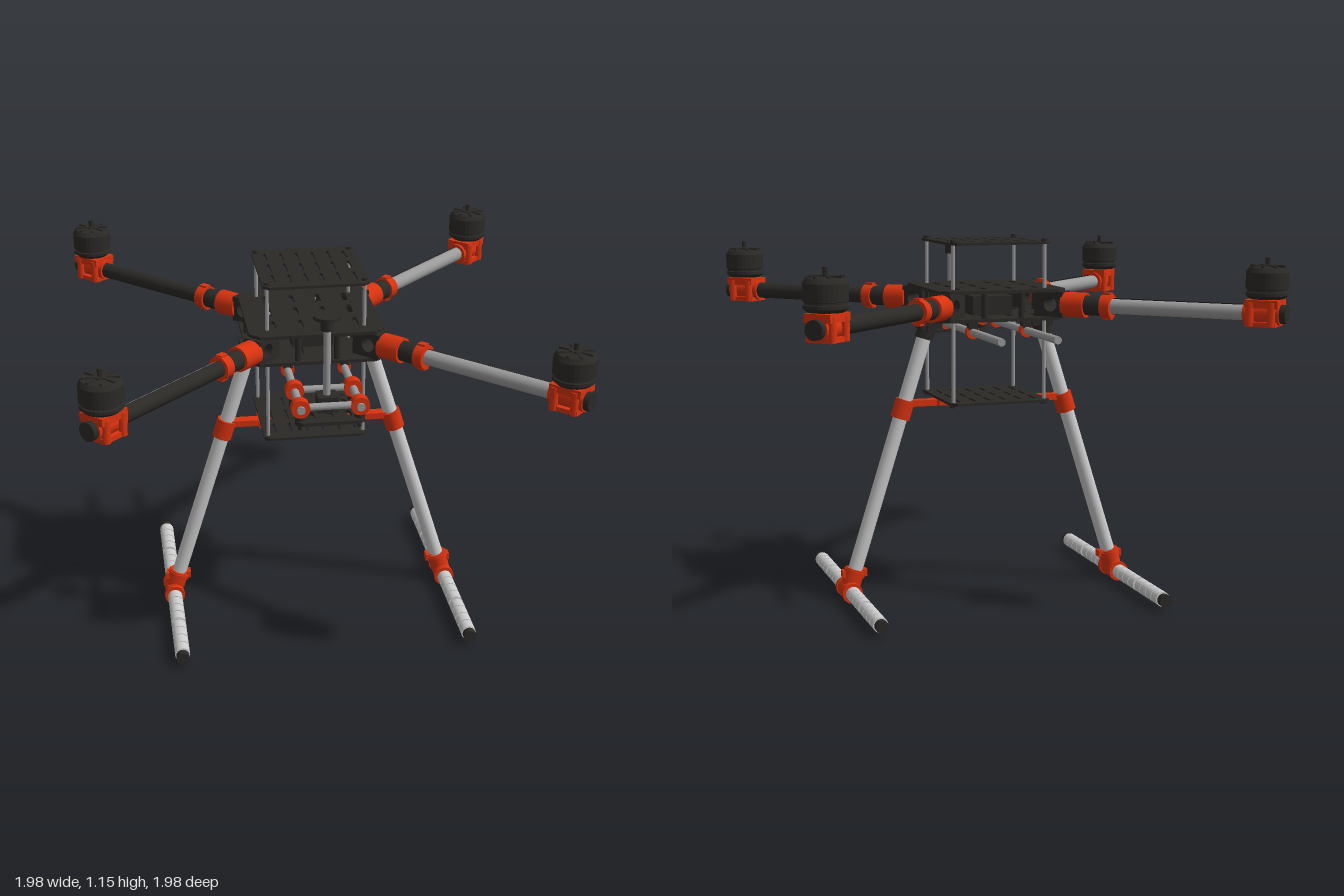
import * as THREE from 'three';

const mat = (color, extra = {}) => new THREE.MeshStandardMaterial({ color, ...extra });
const GREY = mat(0xcccccc), DARK = mat(0x2b2926), RED = mat(0xd8320f), TUBE = mat(0x9a9a9a);
const DARK_OPEN = mat(0x2b2926, { side: THREE.DoubleSide });
const V = (x, y, z) => new THREE.Vector3(x, y, z);

function add(parent, name, geometry, material, x = 0, y = 0, z = 0) {
  const mesh = new THREE.Mesh(geometry, material);
  mesh.name = name;
  mesh.position.set(x, y, z);
  parent.add(mesh);
  return mesh;
}
const box = (p, name, m, w, h, d, x, y, z) => add(p, name, new THREE.BoxGeometry(w, h, d), m, x, y, z);
const disc = (p, name, m, r, h, x, y, z, sides = 24) =>
  add(p, name, new THREE.CylinderGeometry(r, r, h, sides), m, x, y, z);

// Cylinder running from point a to point b
function rod(p, name, m, r, a, b, sides = 20) {
  const dir = b.clone().sub(a);
  const mesh = add(p, name, new THREE.CylinderGeometry(r, r, dir.length(), sides), m);
  mesh.position.copy(a).add(b).multiplyScalar(0.5);
  mesh.quaternion.setFromUnitVectors(V(0, 1, 0), dir.normalize());
  return mesh;
}

// Slot outline, long along y
function slot(x, y, halfWidth, halfLength) {
  const s = new THREE.Path();
  s.absarc(x, y + halfLength, halfWidth, 0, Math.PI);
  s.absarc(x, y - halfLength, halfWidth, Math.PI, Math.PI * 2);
  s.closePath();
  return s;
}

// Flat plate with cut corners and rows of slots
function plate(p, name, w, d, cut, t, x, y, z, slots) {
  const s = new THREE.Shape([
    [w, d - cut], [w - cut, d], [cut - w, d], [-w, d - cut],
    [-w, cut - d], [cut - w, -d], [w - cut, -d], [w, cut - d],
  ].map(([a, b]) => new THREE.Vector2(a, b)));
  for (const [a, b, hw, hl] of slots) s.holes.push(slot(a, b, hw, hl));
  const g = new THREE.ExtrudeGeometry(s, { depth: t, bevelEnabled: false, curveSegments: 5 });
  g.rotateX(-Math.PI / 2);
  return add(p, name, g, DARK, x, y - t / 2, z);
}

function slotGrid(cols, rows, dx, dz, hw, hl) {
  const out = [];
  for (let i = 0; i < cols; i++)
    for (let j = 0; j < rows; j++)
      out.push([(i - (cols - 1) / 2) * dx, (j - (rows - 1) / 2) * dz, hw, hl]);
  return out;
}

// One arm running along +z, with its clamp, collars and motor
function makeArm() {
  const g = new THREE.Group();
  g.name = 'arm';
  const y = 0.948;
  const along = (name, m, r, z0, z1) => rod(g, name, m, r, V(0, y, z0), V(0, y, z1), 24);
  const s = new THREE.Shape([[0.19, -0.04], [0.285, -0.04], [0.285, 0.04], [0.19, 0.04]]
    .map(([a, b]) => new THREE.Vector2(a, b)));
  s.holes.push(new THREE.Path().absarc(0.245, 0, 0.022, 0, Math.PI * 2));
  const clamp = new THREE.ExtrudeGeometry(s, { depth: 0.06, bevelEnabled: false });
  clamp.rotateY(-Math.PI / 2);
  add(g, 'armClamp', clamp, DARK, 0.03, y, 0);
  along('armTube', TUBE, 0.023, 0.28, 0.97);
  const cover = new THREE.CylinderGeometry(0.026, 0.026, 0.46, 16, 1, true, Math.PI / 2, Math.PI);
  cover.rotateX(Math.PI / 2);
  cover.rotateZ(-Math.PI / 2);
  const c = add(g, 'armCover', cover, DARK_OPEN, 0, y, 0.66);
  c.rotation.z = Math.PI * (cover.boundingBox || (cover.computeBoundingBox(), cover.boundingBox)).max.y > 0.05 ? 0 : Math.PI;
  along('innerCollar', RED, 0.039, 0.28, 0.355);
  along('foldingJoint', DARK, 0.031, 0.355, 0.41);
  along('outerCollar', RED, 0.037, 0.41, 0.442);
  box(g, 'collarLug', RED, 0.022, 0.082, 0.028, 0, y, 0.426);
  // Motor mount
  along('mountSleeve', RED, 0.033, 0.865, 0.975);
  along('armCap', DARK, 0.028, 0.97, 0.993);
  box(g, 'mountBlock', RED, 0.085, 0.024, 0.1, 0, 0.978, 0.925);
  for (const x of [-0.036, 0.036])
    for (const z of [0.89, 0.955]) disc(g, 'mountBolt', RED, 0.012, 0.07, x, 0.947, z, 10);
  box(g, 'mountFoot', RED, 0.08, 0.014, 0.09, 0, 0.918, 0.922);
  // Motor
  const profile = [[0, 0.992], [0.05, 0.992], [0.062, 1.002], [0.062, 1.012], [0.058, 1.014], [0.058, 1.02],
    [0.063, 1.022], [0.063, 1.07], [0.054, 1.084], [0.02, 1.087], [0.02, 1.092], [0, 1.092]]
    .map(([a, b]) => new THREE.Vector2(a, b));
  add(g, 'motor', new THREE.LatheGeometry(profile, 28), mat(0x2b2926, { flatShading: true }), 0, 0, 0.93);
  disc(g, 'motorShaft', DARK, 0.008, 0.03, 0, 1.098, 0.93, 10);
  for (let i = 0; i < 8; i++) {
    const rib = box(g, 'motorRib', DARK, 0.008, 0.006, 0.034, 0, 1.087, 0.93);
    rib.rotation.y = i * Math.PI / 4;
    rib.translateZ(0.036);
  }
  return g;
}

// One landing leg on the +x side with its skid
function makeLeg() {
  const g = new THREE.Group();
  g.name = 'landingLeg';
  const foot = V(0.455, 0.033, 0), top = V(0.19, 0.875, 0);
  const at = (t) => foot.clone().lerp(top, t);
  rod(g, 'legTube', GREY, 0.023, foot, top);
  rod(g, 'footCollar', RED, 0.031, at(0.02), at(0.08));
  rod(g, 'footClamp', RED, 0.035, at(0.055), at(0.075));
  box(g, 'footBolt', RED, 0.08, 0.022, 0.03, at(0.065).x, at(0.065).y, 0);
  rod(g, 'kneeCollar', RED, 0.031, at(0.65), at(0.72));
  box(g, 'kneeLink', RED, 0.13, 0.02, 0.035, 0.215, 0.628, 0);
  box(g, 'kneePad', RED, 0.04, 0.016, 0.09, 0.145, 0.63, 0);
  // Hinge under the frame
  rod(g, 'hingeSleeve', DARK, 0.029, at(0.95), at(1.01));
  box(g, 'hingeBlock', DARK, 0.07, 0.04, 0.07, 0.185, 0.885, 0);
  rod(g, 'hingePin', DARK, 0.014, V(0.19, 0.868, -0.05), V(0.19, 0.868, 0.05), 12);
  // Skid with foam sleeves
  const skid = (name, m, r, z0, z1) => rod(g, name, m, r, V(0.455, 0.033, z0), V(0.455, 0.033, z1));
  skid('skidTube', DARK, 0.015, -0.425, 0.425);
  skid('footTee', RED, 0.03, -0.05, 0.05);
  for (const s of [-1, 1]) {
    skid('teeRing', RED, 0.033, s * 0.036, s * 0.052);
    skid('skidCap', DARK, 0.02, s * 0.412, s * 0.435);
    for (const start of [0.055, 0.24]) {
      skid('foamCore', GREY, 0.0205, s * start, s * (start + 0.174));
      for (let i = 0; i < 4; i++)
        skid('foamSleeve', GREY, 0.0235, s * (start + i * 0.044), s * (start + i * 0.044 + 0.04));
    }
  }
  return g;
}

// Sensor tray hung from the front of the rails, with a mast
function makeTray() {
  const g = new THREE.Group();
  g.name = 'sensorTray';
  const z0 = 0.375;
  plate(g, 'trayPlate', 0.1, 0.095, 0.015, 0.01, 0, 0.822, z0, slotGrid(3, 2, 0.055, 0.08, 0.012, 0.012));
  for (const x of [-0.088, 0.088])
    for (const z of [z0 - 0.065, z0 + 0.065]) {
      rod(g, 'trayClamp', RED, 0.028, V(x, 0.865, z - 0.016), V(x, 0.865, z + 0.016));
      disc(g, 'damper', DARK, 0.016, 0.045, x, 0.835, z, 12);
      disc(g, 'trayBolt', DARK, 0.006, 0.03, x, 0.81, z, 8);
    }
  for (const z of [z0 - 0.065, z0 + 0.065])
    rod(g, 'crossTube', TUBE, 0.011, V(-0.088, 0.865, z), V(0.088, 0.865, z));
  box(g, 'mastBase', DARK, 0.06, 0.05, 0.06, 0, 0.85, z0);
  disc(g, 'mast', TUBE, 0.011, 0.26, 0, 0.98, z0);
  disc(g, 'mastHub', DARK, 0.02, 0.035, 0, 1.095, z0);
  disc(g, 'mastDisc', DARK, 0.041, 0.01, 0, 1.118, z0);
  return g;
}

export function createModel() {
  const model = new THREE.Group();
  model.name = 'quadcopter';
  const body = new THREE.Group();
  body.name = 'airframe';
  body.rotation.y = THREE.MathUtils.degToRad(50.2);
  model.add(body);

  // Main frame plates, and the smaller plates above and below
  const mainSlots = slotGrid(4, 3, 0.085, 0.11, 0.008, 0.026);
  for (const y of [0.905, 0.992]) plate(body, 'framePlate', 0.207, 0.207, 0.03, 0.01, 0, y, 0, mainSlots);
  const deckSlots = slotGrid(6, 3, 0.05, 0.1, 0.005, 0.03);
  plate(body, 'topDeck', 0.163, 0.177, 0.018, 0.008, 0, 1.138, 0, deckSlots);
  plate(body, 'batteryTray', 0.163, 0.177, 0.018, 0.008, 0, 0.642, 0, deckSlots);

  // Corner posts and frame spacers
  for (const x of [-0.149, 0.149])
    for (const z of [-0.149, 0.149]) {
      disc(body, 'post', TUBE, 0.006, 0.5, x, 0.89, z, 10);
      disc(body, 'postNut', DARK, 0.01, 0.01, x, 1.145, z, 6);
      disc(body, 'postFoot', DARK, 0.01, 0.01, x, 0.635, z, 6);
    }
  for (const s of [-1, 1]) {
    for (const t of [-0.06, 0.06]) {
      disc(body, 'spacer', DARK, 0.01, 0.08, s * 0.19, 0.948, t, 8);
      disc(body, 'spacer', DARK, 0.01, 0.08, t, 0.948, s * 0.19, 8);
    }
  }
  box(body, 'electronicsBox', DARK, 0.13, 0.06, 0.17, 0, 0.94, 0);

  for (let i = 0; i < 4; i++) {
    const arm = makeArm();
    arm.rotation.y = Math.PI / 4 + i * Math.PI / 2;
    body.add(arm);
  }
  for (const turn of [0, Math.PI]) {
    const leg = makeLeg();
    leg.rotation.y = turn;
    body.add(leg);
  }

  // Rails under the frame and their hangers
  for (const x of [-0.088, 0.088]) {
    rod(body, 'rail', TUBE, 0.012, V(x, 0.865, -0.44), V(x, 0.865, 0.465));
    for (const z of [-0.15, 0.15]) {
      rod(body, 'railClip', RED, 0.021, V(x, 0.865, z - 0.01), V(x, 0.865, z + 0.01));
      box(body, 'railHanger', DARK, 0.03, 0.03, 0.024, x, 0.888, z);
    }
  }
  body.add(makeTray());
  return model;
}
